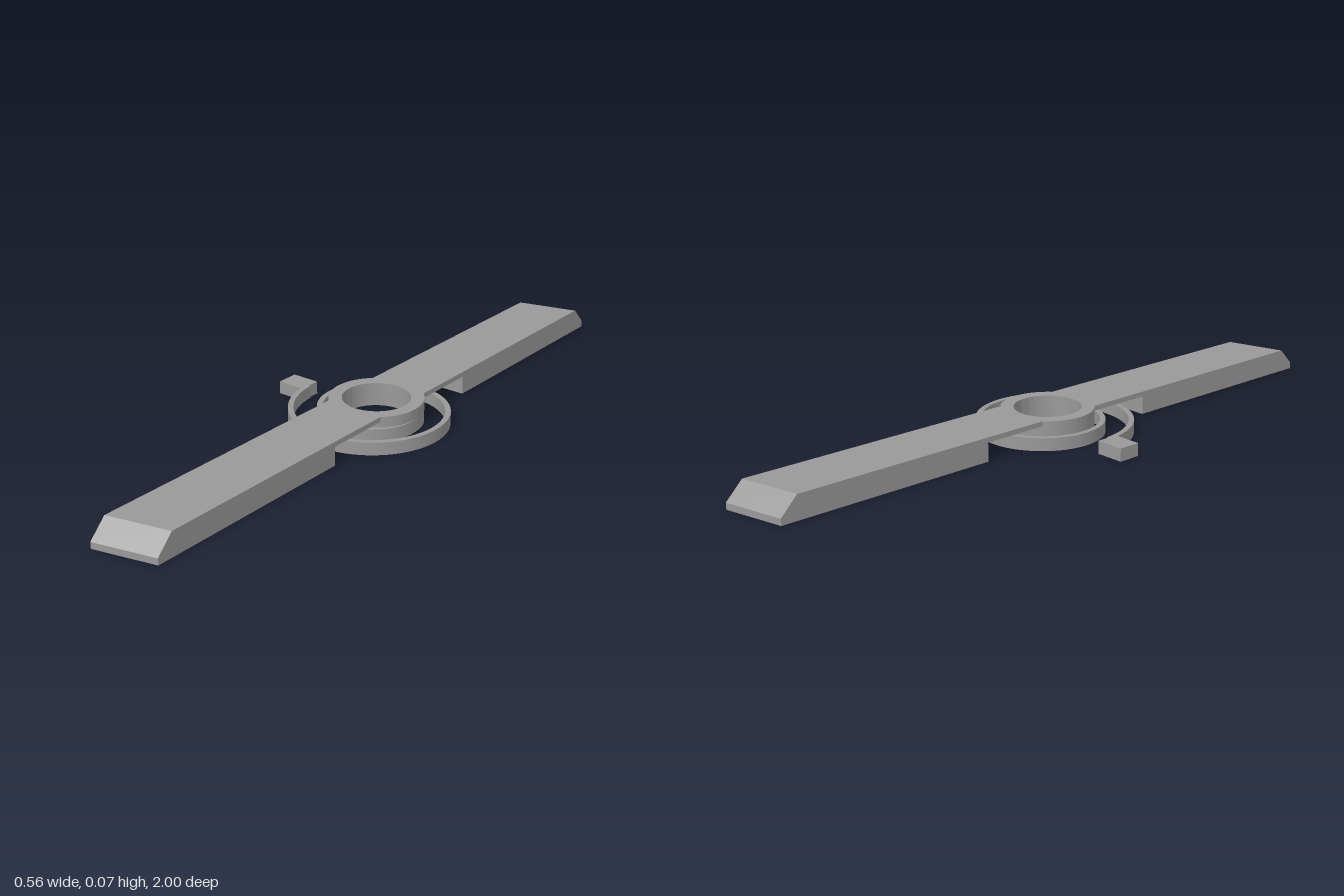
import * as THREE from 'three';
import { toCreasedNormals } from 'three/addons/utils/BufferGeometryUtils.js';

const HUB_X = 0.056, HUB_R = 0.136, BORE_R = 0.098;
const HALF = 0.091, TOP = 0.07, DECK_Y = 0.055, RING_H = 0.038;
const INNER = 0.3, SOCKET_END = 0.5;

export function createModel() {
  const grey = new THREE.MeshStandardMaterial({ color: 0x999999 });
  grey.name = 'grey';
  const model = new THREE.Group();
  model.name = 'spiralSpringArm';

  const add = (parent, name, geometry) => {
    const mesh = new THREE.Mesh(geometry, grey);
    mesh.name = name;
    parent.add(mesh);
    return mesh;
  };

  // Extrudes a plan outline (shape y = -z) upward between two heights
  const slab = (shape, y0, y1) => {
    const g = new THREE.ExtrudeGeometry(shape, { depth: y1 - y0, bevelEnabled: false, curveSegments: 64 });
    g.rotateX(-Math.PI / 2).translate(0, y0, 0);
    return toCreasedNormals(g, 0.5);
  };

  const circle = (x, y, r) => new THREE.Path().absarc(x, y, r, 0, Math.PI * 2, true);

  // Hub ring
  const ring = new THREE.Shape().absarc(0, 0, HUB_R, 0, Math.PI * 2, false);
  ring.holes.push(circle(0, 0, BORE_R));
  add(model, 'hub', slab(ring, 0, TOP)).position.x = HUB_X;

  // Flat spiral spring, one and a half turns inward to the hub
  const outer = [], inner = [];
  const steps = 144, thickness = 0.016;
  for (let i = 0; i <= steps; i++) {
    const turn = 1.5 * i / steps, a = turn * Math.PI * 2;
    const r = 0.26 - 0.0825 * turn;
    const at = (d) => new THREE.Vector2(-d * Math.cos(a), -d * Math.sin(a));
    outer.push(at(r));
    inner.push(at(r - thickness));
  }
  const spiral = new THREE.Shape([...outer, ...inner.reverse()]);
  add(model, 'spiralSpring', slab(spiral, 0, RING_H)).position.x = HUB_X;

  // Anchor tab on the free end of the spring
  add(model, 'springTab', new THREE.BoxGeometry(0.087, RING_H, 0.067)).position.set(-0.2365, RING_H / 2, -0.004);

  // Thin deck joining the hub to the blade, cut to the hub curve
  const deck = (end) => {
    const a = Math.acos(HALF / HUB_R);
    const s = new THREE.Shape();
    s.moveTo(HALF, -end);
    s.lineTo(HALF, -HUB_R * Math.sin(a));
    s.absarc(0, 0, HUB_R, -a, -Math.PI + a, true);
    s.lineTo(-HALF, -end);
    s.closePath();
    return slab(s, DECK_Y, TOP);
  };

  // Full-height blade with a slanted, bevelled tip
  const blade = (start) => {
    const s = new THREE.Shape([
      [start, 0], [0.978, 0], [0.978, 0.019], [0.928, TOP], [start, TOP],
    ].map(([z, y]) => new THREE.Vector2(z, y)));
    const g = new THREE.ExtrudeGeometry(s, { depth: HALF * 2, bevelEnabled: false });
    g.rotateY(-Math.PI / 2).translate(HALF, 0, 0);
    const p = g.attributes.position;
    for (let i = 0; i < p.count; i++) {
      if (p.getZ(i) > 0.9) p.setZ(i, p.getZ(i) - 0.242 * p.getX(i));
    }
    g.computeVertexNormals();
    return g;
  };

  for (const back of [false, true]) {
    const arm = new THREE.Group();
    arm.name = back ? 'backArm' : 'frontArm';
    arm.position.x = HUB_X;
    arm.rotation.y = back ? Math.PI : 0;
    const start = back ? SOCKET_END : INNER;
    add(arm, 'deck', deck(start));
    add(arm, 'blade', blade(start));
    if (back) {
      // Block with a round recess open underneath
      const s = new THREE.Shape([
        [-HALF, -SOCKET_END], [HALF, -SOCKET_END], [HALF, -INNER], [-HALF, -INNER],
      ].map(([x, y]) => new THREE.Vector2(x, y)));
      s.holes.push(circle(0, -0.39, 0.052));
      add(arm, 'socketBlock', slab(s, 0, DECK_Y));
    }
    model.add(arm);
  }
  return model;
}
